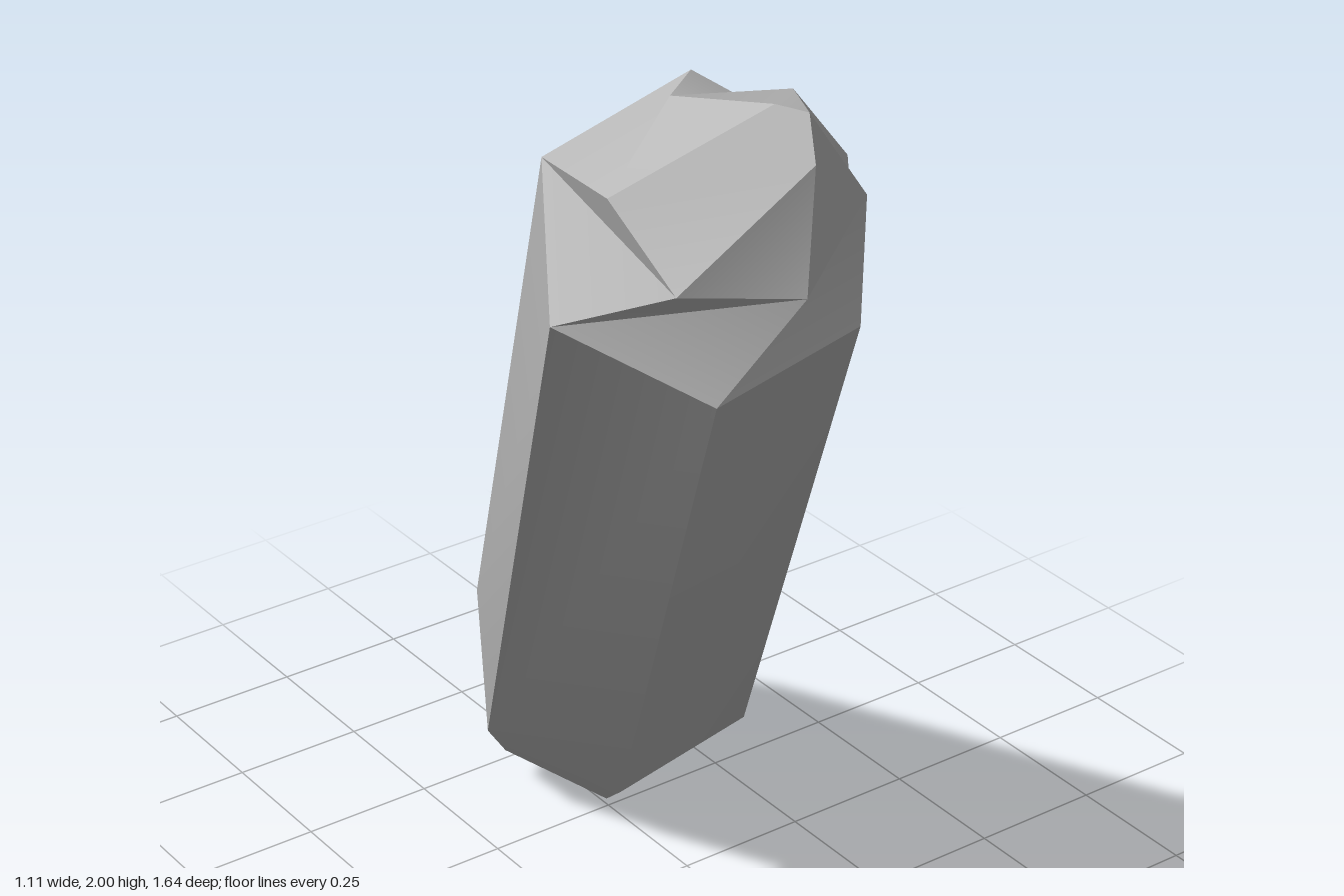
import * as THREE from 'three';
import { toCreasedNormals } from 'three/addons/utils/BufferGeometryUtils.js';

// Three tip corners, shared by pairs of facets
const tipRight = [-0.32, 2.0, 0.79];
const tipBack = [-0.34, 2.0, 0.74];
const tipFront = [-0.335, 1.94, 0.825];

// Six-sided cross-sections along the leaning axis, base to tip
const rings = [
  // flat base
  [[0.55, 0.21, -0.63], [0.43, 0.3, -0.81], [0.23, 0.22, -0.82], [0.14, 0.07, -0.68], [0.26, 0, -0.52], [0.46, 0.07, -0.5]],
  // lower shoulder
  [[0.53, 0.38, -0.51], [0.37, 0.48, -0.7], [0.13, 0.39, -0.75], [0.03, 0.21, -0.57], [0.18, 0.13, -0.36], [0.43, 0.22, -0.32]],
  // upper shoulder
  [[-0.08, 1.8, 0.575], [-0.21, 1.895, 0.375], [-0.45, 1.81, 0.345], [-0.555, 1.64, 0.515], [-0.41, 1.55, 0.71], [-0.19, 1.63, 0.75]],
  // tip facets
  [[-0.2, 1.94, 0.6], [-0.36, 1.945, 0.53], [-0.495, 1.84, 0.57], [-0.48, 1.74, 0.71], [-0.325, 1.73, 0.8], [-0.185, 1.83, 0.75]],
  // point
  [tipRight, tipBack, tipBack, tipFront, tipFront, tipRight],
];

function crystalGeometry() {
  const positions = [];
  const tri = (a, b, c) => {
    if (a !== b && b !== c && c !== a) positions.push(...a, ...b, ...c);
  };
  // sides
  for (let r = 0; r < rings.length - 1; r++) {
    for (let i = 0; i < 6; i++) {
      const j = (i + 1) % 6;
      const [a, b, c, d] = [rings[r][i], rings[r][j], rings[r + 1][j], rings[r + 1][i]];
      tri(a, b, c);
      tri(a, c, d);
    }
  }
  // end caps
  const base = rings[0];
  for (let i = 1; i < 5; i++) tri(base[0], base[i + 1], base[i]);
  tri(tipRight, tipBack, tipFront);

  const geometry = new THREE.BufferGeometry();
  geometry.setAttribute('position', new THREE.Float32BufferAttribute(positions, 3));
  return toCreasedNormals(geometry, THREE.MathUtils.degToRad(30));
}

export function createModel() {
  const stone = new THREE.MeshStandardMaterial({ color: 0xb8b8b8 });
  stone.name = 'grey stone';
  const crystal = new THREE.Mesh(crystalGeometry(), stone);
  crystal.name = 'crystal';
  const group = new THREE.Group();
  group.name = 'leaningCrystal';
  group.add(crystal);
  return group;
}
